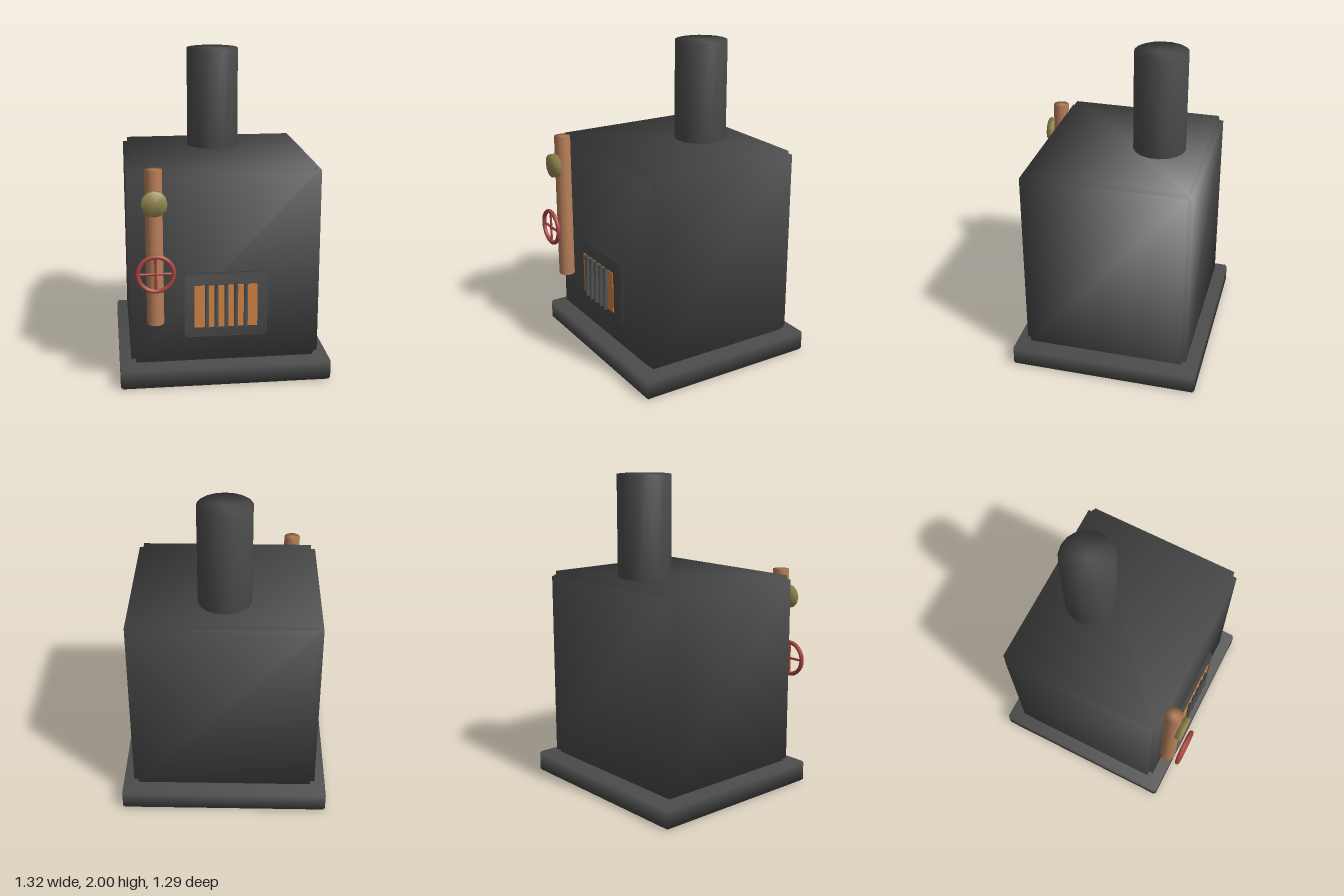
import * as THREE from 'three';
import { mergeVertices } from 'three/addons/utils/BufferGeometryUtils.js';

const material = (name, color) => {
  const m = new THREE.MeshStandardMaterial({ color });
  m.name = name;
  return m;
};

// Shares the corners of a geometry so its normals blend across all edges
function soften(geometry) {
  geometry.deleteAttribute('normal');
  geometry.deleteAttribute('uv');
  const merged = mergeVertices(geometry, 1e-4);
  merged.computeVertexNormals();
  return merged;
}

export function createModel() {
  const model = new THREE.Group();
  model.name = 'boilerStove';
  const iron = material('dark iron', 0x4c4c4c);
  const steel = material('grate steel', 0x55585a);
  const copper = material('copper', 0xb87f5a);
  const brass = material('brass', 0x968a52);
  const red = material('red paint', 0xa84640);
  const ember = material('ember orange', 0xd28344);

  const add = (name, geometry, mat, x, y, z, parent = model) => {
    const mesh = new THREE.Mesh(geometry, mat);
    mesh.name = name;
    mesh.position.set(x, y, z);
    parent.add(mesh);
    return mesh;
  };

  // Box with stepped edges: three crossed slabs, each long in one direction
  const steppedBox = (name, min, max, step) => {
    const group = new THREE.Group();
    group.name = name;
    const size = max.map((v, i) => v - min[i]);
    const centre = max.map((v, i) => (v + min[i]) / 2);
    for (let axis = 0; axis < 3; axis++) {
      const s = size.map((v, i) => (i === axis ? v : v - 2 * step));
      add(name + 'Slab', soften(new THREE.BoxGeometry(...s)), iron, ...centre, group);
    }
    model.add(group);
  };

  steppedBox('base', [-0.658, 0, -0.645], [0.658, 0.132, 0.552], 0.01);
  steppedBox('body', [-0.587, 0.13, -0.57], [0.587, 1.365, 0.48], 0.03);
  steppedBox('doorFrame', [-0.256, 0.31, 0.45], [0.256, 0.72, 0.515], 0.012);

  // Chimney at the back of the top
  add('chimney', soften(new THREE.CylinderGeometry(0.167, 0.167, 0.66, 18)), iron, 0, 1.67, -0.255);

  // Glowing opening behind the grate
  add('fireOpening', new THREE.BoxGeometry(0.388, 0.27, 0.008), ember, -0.003, 0.514, 0.515);
  for (let i = -2; i <= 2; i++) {
    add('grateBar', soften(new THREE.BoxGeometry(0.022, 0.276, 0.022)), steel, i * 0.06 - 0.003, 0.517, 0.532);
  }

  // Copper pipe with its gauge
  const pipeX = -0.435;
  add('pipe', soften(new THREE.CylinderGeometry(0.052, 0.052, 0.96, 16)), copper, pipeX, 0.905, 0.526);
  const gauge = add('gauge', soften(new THREE.CylinderGeometry(0.077, 0.077, 0.04, 12)), brass, pipeX, 1.195, 0.594);
  gauge.rotation.x = Math.PI / 2;

  // Valve wheel with crossed spokes
  const wheel = new THREE.Group();
  wheel.name = 'valveWheel';
  wheel.position.set(pipeX, 0.775, 0.63);
  model.add(wheel);
  add('wheelRim', new THREE.TorusGeometry(0.107, 0.014, 8, 28), red, 0, 0, 0, wheel);
  for (const angle of [0, Math.PI / 2]) {
    const spoke = add('wheelSpoke', new THREE.CylinderGeometry(0.008, 0.008, 0.21, 8), red, 0, 0, 0, wheel);
    spoke.rotation.z = angle;
  }
  return model;
}
